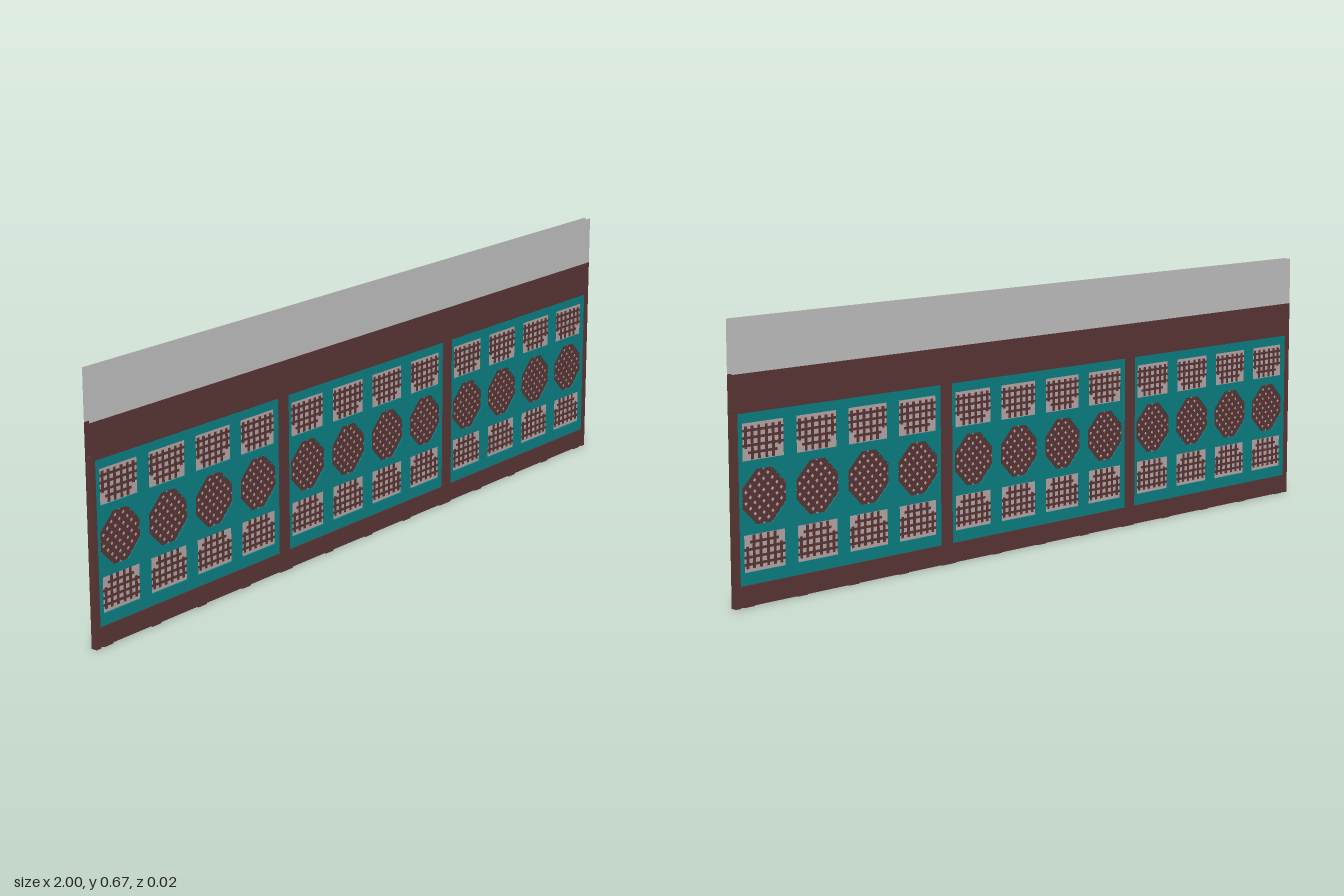
import * as THREE from 'three';
import { mergeGeometries } from 'three/addons/utils/BufferGeometryUtils.js';

const mat = (name, color, side = THREE.FrontSide) => {
  const m = new THREE.MeshStandardMaterial({ color, side });
  m.name = name;
  return m;
};

const D = 0.016; // full frame depth
const PANEL_X = [-0.668, 0, 0.668];
const COLUMN_X = [-0.24, -0.08, 0.08, 0.24];
const TOP_Y = 0.384, MID_Y = 0.254, LOW_Y = 0.124;

// Box given by its edges in x and y, centred in z
const slab = (x0, x1, y0, y1, depth) =>
  new THREE.BoxGeometry(x1 - x0, y1 - y0, depth).translate((x0 + x1) / 2, (y0 + y1) / 2, 0);

// Outline points of a rectangular or an eight-sided window
const rectPoints = (x, y, w, h) =>
  [[-1, -1], [1, -1], [1, 1], [-1, 1]].map(([a, b]) => new THREE.Vector2(x + a * w / 2, y + b * h / 2));
const octPoints = (x, y, r, c) =>
  [[c, -r], [r, -c], [r, c], [c, r], [-c, r], [-r, c], [-r, -c], [-c, -r]]
    .map(([a, b]) => new THREE.Vector2(x + a, y + b));

const plate = (shape, depth) =>
  new THREE.ExtrudeGeometry(shape, { depth, bevelEnabled: false }).translate(0, 0, -depth / 2);

// Stepped lattice; flip = -1 turns the open corners upwards
function squareLattice(cx, cy, flip) {
  const bars = [];
  for (const y of [-0.026, -0.009, 0.009, 0.026])
    bars.push(new THREE.BoxGeometry(y < -0.02 ? 0.085 : 0.122, 0.006, 0.006).translate(cx, cy + flip * y, 0));
  for (const x of [-0.05, -0.031, -0.011, 0.011, 0.031, 0.05]) {
    const low = Math.abs(x) > 0.04 ? -0.016 : -0.042, high = 0.036;
    bars.push(new THREE.BoxGeometry(0.007, high - low, 0.0056)
      .translate(cx + x, cy + flip * (low + high) / 2, 0));
  }
  return bars;
}

// Diagonal lattice cut to the eight-sided window
function diagonalLattice(cx, cy) {
  const bars = [];
  for (let i = -3; i <= 3; i++) {
    const u = i * 0.0185;
    const length = 2 * Math.min(0.062, 0.092 - Math.abs(u));
    for (const turn of [1, -1])
      bars.push(new THREE.BoxGeometry(length, 0.0105, turn > 0 ? 0.006 : 0.0056)
        .translate(0, u, 0).rotateZ(turn * Math.PI / 4).translate(cx, cy, 0));
  }
  return bars;
}

export function createModel() {
  const group = new THREE.Group();
  const brown = mat('brown wood', 0x5c3636);
  const brownSheet = mat('brown sheet', 0x5c3636, THREE.DoubleSide);
  const teal = mat('teal paint', 0x0c8285);
  const pale = mat('pale pane', 0xbcaaaa);
  const grey = mat('grey band', 0xc4c4c4, THREE.DoubleSide);

  const add = (name, geometry, material) => {
    const mesh = new THREE.Mesh(geometry, material);
    mesh.name = name;
    group.add(mesh);
  };

  // Frame: rails, end stiles and the two posts between the panels
  add('bottomRail', slab(-1, 1, 0.012, 0.051, D), brown);
  add('topRail', slab(-1, 1, 0.452, 0.46, D), brown);
  for (const s of [-1, 1]) {
    add('endStile', slab(s * 0.9925 - 0.0075, s * 0.9925 + 0.0075, 0, 0.46, D), brown);
    add('post', slab(s * 0.334 - 0.018, s * 0.334 + 0.018, 0, 0.46, D), brown);
  }

  // Recessed base strip with feet at full depth
  add('baseStrip', slab(-1, 1, 0, 0.012, 0.006), brown);
  const feet = [];
  for (let i = 0; i < 13; i++) {
    const x = -0.96 + i * 0.16;
    feet.push(slab(x - 0.015, x + 0.015, 0, 0.012, D));
  }
  add('feet', mergeGeometries(feet), brown);

  // Header and upper band, each a pair of open sheets
  for (const s of [-1, 1]) {
    const sheet = (y0, y1) => new THREE.PlaneGeometry(2, y1 - y0)
      .rotateY(s > 0 ? 0 : Math.PI).translate(0, (y0 + y1) / 2, s * D / 2);
    add('header', sheet(0.46, 0.543), brownSheet);
    add('upperBand', sheet(0.543, 0.67), grey);
  }

  // Three pierced panels with panes and lattices
  for (const px of PANEL_X) {
    const panel = new THREE.Shape(rectPoints(px, 0.2515, 0.634, 0.401));
    const panes = [], bars = [];
    for (const ox of COLUMN_X) {
      const x = px + ox;
      const outlines = [
        rectPoints(x, TOP_Y, 0.124, 0.088),
        octPoints(x, MID_Y, 0.065, 0.023),
        rectPoints(x, LOW_Y, 0.124, 0.088),
      ];
      for (const points of outlines) {
        panel.holes.push(new THREE.Path(points));
        panes.push(plate(new THREE.Shape(points), 0.002));
      }
      bars.push(...squareLattice(x, TOP_Y, 1), ...diagonalLattice(x, MID_Y), ...squareLattice(x, LOW_Y, -1));
    }
    add('panel', plate(panel, 0.01), teal);
    add('panes', mergeGeometries(panes), pale);
    add('lattice', mergeGeometries(bars), brown);
  }

  return group;
}
